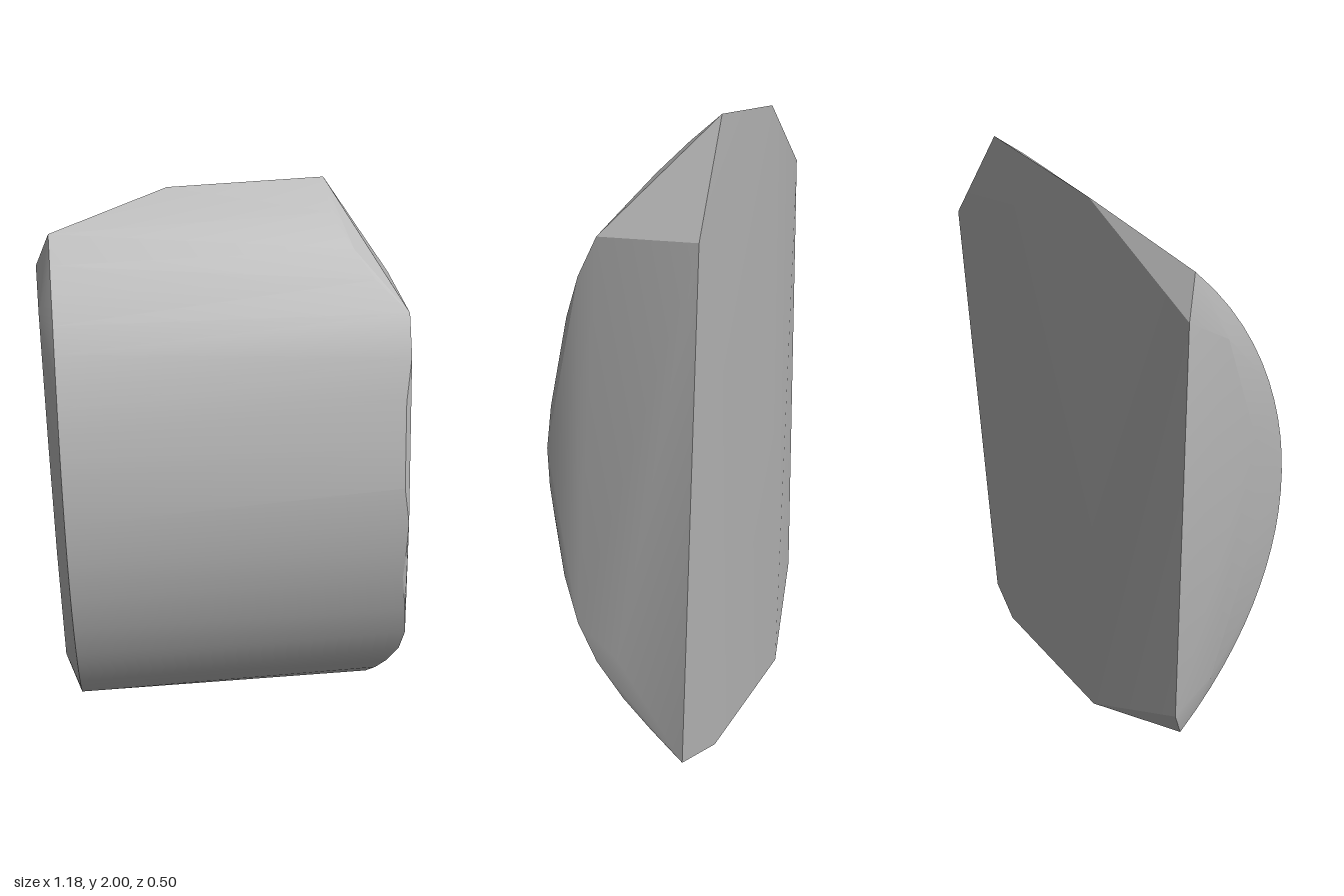
import * as THREE from 'three';
import { ConvexGeometry } from 'three/addons/geometries/ConvexGeometry.js';
import { toCreasedNormals } from 'three/addons/utils/BufferGeometryUtils.js';

// Depth of the bowed front face at height y (circular arc)
const arcZ = (y) => Math.sqrt(1.69 - (y - 1) ** 2) - 1.05;

export function createModel() {
  const group = new THREE.Group();
  group.name = 'stoneSlab';
  const stone = new THREE.MeshStandardMaterial({ color: 0xb2b2b2 });
  stone.name = 'grey stone';

  const points = [];
  const add = (x, y, z = arcZ(y)) => points.push(new THREE.Vector3(x, y, z));

  // Left rim of the bowed front, in even steps
  for (let i = 0; i <= 24; i++) {
    const y = 0.11 + (1.79 * i) / 24;
    add(-0.55 - 0.012 * Math.sin((Math.PI * i) / 24), y);
  }

  // Right rim of the bowed front, with its chipped corners
  const rightRim = [
    [0.54, 0.02], [0.55, 0.12], [0.57, 0.22], [0.59, 0.34], [0.59, 0.46],
    [0.568, 0.6], [0.54, 0.77], [0.54, 0.88], [0.54, 1], [0.52, 1.13],
    [0.5, 1.27], [0.52, 1.41], [0.54, 1.54], [0.54, 1.66], [0.44, 1.75],
    [0.38, 1.83], [0.32, 1.92],
  ];
  rightRim.forEach(([x, y]) => add(x, y));

  // Top and bottom edges
  add(-0.18, 1.995, -0.21);
  add(0.31, 2, -0.228);
  add(-0.22, 0.04, -0.24);
  add(0.36, 0, -0.235);

  // Back edges and flat left side
  add(0.54, 1.66, -0.25);
  add(-0.595, 1.78, -0.16);
  add(-0.595, 0.26, -0.16);
  add(-0.595, 1.68, -0.02);
  add(-0.595, 1.3, 0.1);
  add(-0.595, 0.9, 0.125);
  add(-0.595, 0.36, -0.02);
  add(0.59, 0.36, 0);

  const slab = new THREE.Mesh(toCreasedNormals(new ConvexGeometry(points), 0.4), stone);
  slab.name = 'slab';
  group.add(slab);
  return group;
}
